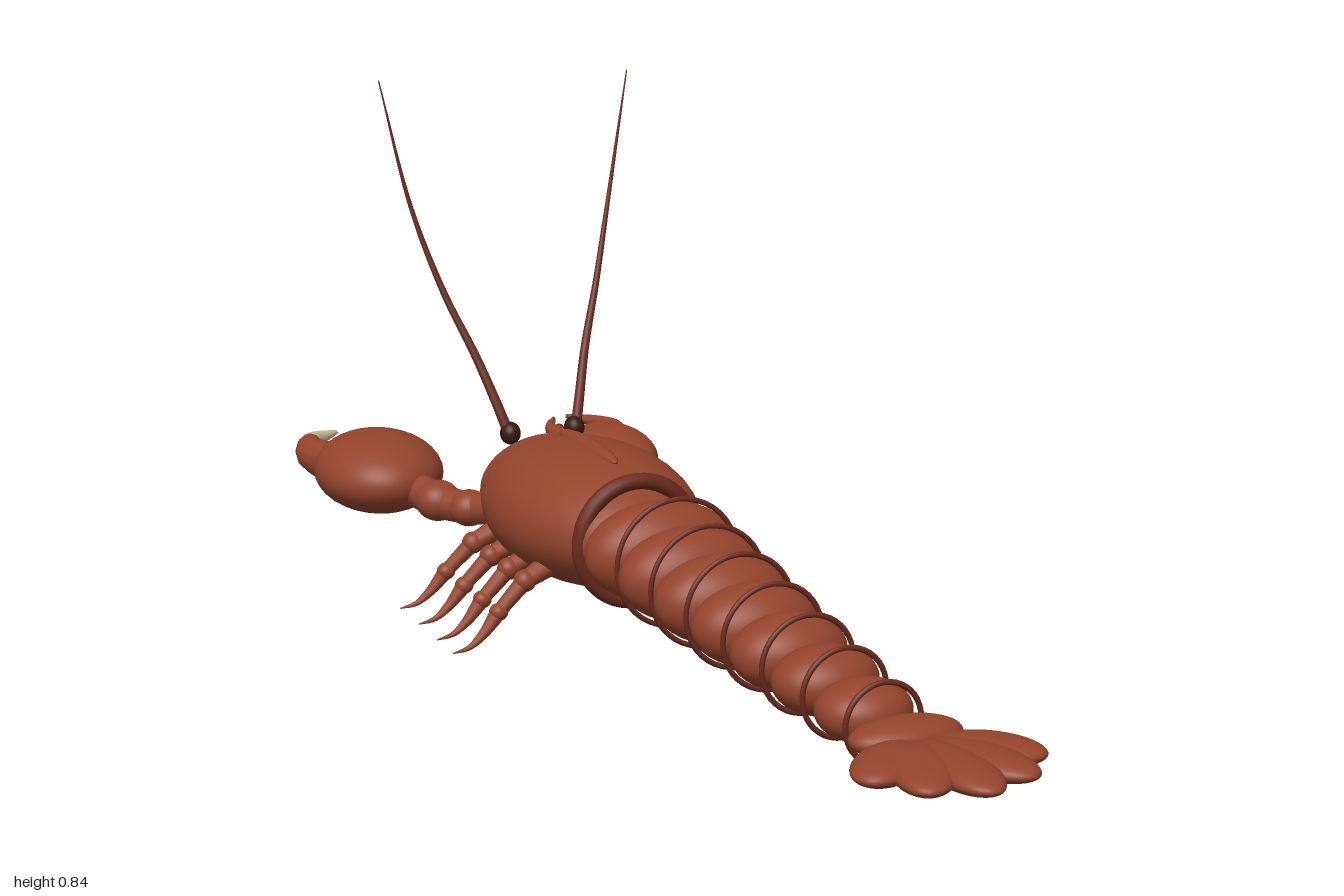
import * as THREE from 'three';

const CX = 0.0225; // body axis

export function createModel() {
  const model = new THREE.Group();
  model.name = 'lobster';
  const mat = (name, color) => Object.assign(new THREE.MeshStandardMaterial({ color }), { name });
  const shell = mat('shell red', 0x94442c);
  const dark = mat('dark shell', 0x6a2a1e);
  const eyeMat = mat('eye brown', 0x3a1812);
  const cream = mat('claw tip cream', 0xcbb896);
  const V = (x, y, z) => new THREE.Vector3(x, y, z);
  const lerp = THREE.MathUtils.lerp;

  function add(name, geo, material, parent = model) {
    const mesh = new THREE.Mesh(geo, material);
    mesh.name = name;
    parent.add(mesh);
    return mesh;
  }

  function ellipsoid(name, [x, y, z], [rx, ry, rz], material = shell, yaw = 0, parent = model) {
    const geo = new THREE.SphereGeometry(1, 36, 24);
    geo.rotateX(Math.PI / 2).scale(rx, ry, rz);
    const mesh = add(name, geo, material, parent);
    mesh.position.set(x, y, z);
    mesh.rotation.y = yaw;
    return mesh;
  }

  // Tube whose rings shrink from r0 to r1; an optional tip takes a second material
  function taper(name, points, r0, r1, material, parent = model, power = 1, tip = null, tipStart = 1) {
    const curve = new THREE.CatmullRomCurve3(points);
    const n = 30, sides = 12;
    const geo = new THREE.TubeGeometry(curve, n, 1, sides);
    const pos = geo.attributes.position, p = V(0, 0, 0);
    for (let i = 0; i <= n; i++) {
      const c = curve.getPointAt(i / n);
      const r = lerp(r0, r1, Math.pow(i / n, power));
      for (let j = 0; j <= sides; j++) {
        const k = i * (sides + 1) + j;
        p.fromBufferAttribute(pos, k).sub(c).multiplyScalar(r).add(c);
        pos.setXYZ(k, p.x, p.y, p.z);
      }
    }
    if (!tip) return add(name, geo, material, parent);
    const split = Math.round(n * tipStart) * sides * 6;
    geo.addGroup(0, split, 0);
    geo.addGroup(split, n * sides * 6 - split, 1);
    return add(name, geo, [material, tip], parent);
  }

  // Carapace, head, back ridge and collar
  ellipsoid('carapace', [CX, 0.18, -0.3], [0.16, 0.11, 0.26]);
  ellipsoid('head', [CX, 0.18, -0.435], [0.13, 0.092, 0.128]);
  ellipsoid('backRidge', [CX, 0.282, -0.305], [0.018, 0.014, 0.117]);
  const collar = add('collar', new THREE.TorusGeometry(0.095, 0.013, 12, 48), dark);
  collar.position.set(CX, 0.177, -0.105);

  // Abdomen segments, each followed by a thin ring
  for (let i = 0; i < 7; i++) {
    const t = i / 6;
    const y = lerp(0.185, 0.143, t);
    const z = lerp(-0.015, 0.65, t);
    ellipsoid('abdomenSegment', [CX, y, z], [lerp(0.121, 0.067, t), lerp(0.077, 0.042, t), lerp(0.071, 0.058, t)]);
    const ring = add('abdomenRing', new THREE.TorusGeometry(lerp(0.098, 0.055, t), 0.004, 8, 40), dark);
    ring.position.set(CX, lerp(0.183, 0.142, t), lerp(0.05, 0.705, t));
  }

  // Tail base and fan
  ellipsoid('tailBase', [CX, 0.145, 0.765], [0.08, 0.025, 0.042]);
  for (const [angle, reach, length] of [[0, 0.1, 0.097], [0.4, 0.095, 0.088], [0.85, 0.085, 0.075]]) {
    for (const s of angle ? [-1, 1] : [1]) {
      const a = s * angle;
      ellipsoid('tailLobe', [CX + Math.sin(a) * reach * 1.1, 0.146, 0.795 + Math.cos(a) * reach],
        [0.043, 0.019, length], shell, a);
    }
  }

  for (const s of [-1, 1]) {
    const at = (x, y, z) => V(CX + s * x, y, z);

    // Eyes and antennae
    ellipsoid('eye', at(0.057, 0.265, -0.508).toArray(), [0.017, 0.019, 0.019], eyeMat);
    taper('antenna', [at(0.06, 0.265, -0.508), at(0.073, 0.31, -0.525), at(0.098, 0.39, -0.56),
      at(0.136, 0.49, -0.603), at(0.177, 0.63, -0.645), at(0.221, 0.84, -0.669)], 0.009, 0.001, dark);

    // Walking legs
    [-0.432, -0.352, -0.274, -0.202].forEach((z, i) => {
      const leg = new THREE.Group();
      leg.name = 'walkingLeg';
      model.add(leg);
      const skew = [-0.022, -0.008, 0.004, 0.008][i];
      const hip = at(0.1, 0.13, z), knee = at(0.15, 0.105, z + skew * 0.3);
      const ankle = at(0.195, 0.06, z + skew * 0.6);
      taper('upperLeg', [hip, knee], 0.02, 0.014, shell, leg);
      taper('middleLeg', [knee, ankle], 0.014, 0.011, shell, leg);
      taper('lowerLeg', [ankle, at(0.222, 0.027, z + skew * 0.8), at(0.245, 0.009, z + skew * 0.9),
        at(0.272, 0.003, z + skew)], 0.013, 0.001, shell, leg);
      ellipsoid('kneeJoint', knee.toArray(), [0.018, 0.018, 0.018], shell, 0, leg);
      ellipsoid('ankleJoint', ankle.toArray(), [0.015, 0.014, 0.015], shell, 0, leg);
    });
  }

  // Claws: the right one is a heavy crusher with pale tips, the left one slender
  const claws = [
    {
      name: 'rightClaw', palm: [-0.2, 0.172, -0.71], size: [0.108, 0.068, 0.142], yaw: -0.08,
      arm: [[-0.075, 0.16, -0.43], [-0.115, 0.15, -0.49], [-0.15, 0.153, -0.545], [-0.175, 0.165, -0.61]],
      outer: [[-0.255, 0.17, -0.79], [-0.27, 0.172, -0.87], [-0.245, 0.175, -0.945], [-0.19, 0.176, -0.99]],
      inner: [[-0.155, 0.17, -0.79], [-0.13, 0.172, -0.87], [-0.135, 0.174, -0.93], [-0.16, 0.175, -0.973]],
      radius: 0.035, joint: 0.038, tip: cream,
      teeth: [[-0.235, -0.85], [-0.225, -0.89], [-0.153, -0.845], [-0.15, -0.885]],
    },
    {
      name: 'leftClaw', palm: [0.224, 0.168, -0.69], size: [0.068, 0.048, 0.118], yaw: 0.05,
      arm: [[0.095, 0.16, -0.43], [0.127, 0.15, -0.49], [0.154, 0.152, -0.54], [0.195, 0.162, -0.61]],
      outer: [[0.262, 0.168, -0.755], [0.289, 0.17, -0.845], [0.28, 0.17, -0.91], [0.246, 0.171, -0.965]],
      inner: [[0.203, 0.168, -0.755], [0.179, 0.17, -0.84], [0.189, 0.17, -0.9], [0.216, 0.171, -0.955]],
      radius: 0.023, joint: 0.034, tip: null,
      teeth: [[0.268, -0.865], [0.197, -0.878]],
    },
  ];
  for (const c of claws) {
    const claw = new THREE.Group();
    claw.name = c.name;
    model.add(claw);
    const path = list => list.map(p => V(...p));
    taper('arm', path(c.arm), 0.026, 0.03, shell, claw);
    ellipsoid('elbow', c.arm[1], [c.joint * 0.9, c.joint * 0.8, c.joint * 0.9], shell, 0, claw);
    ellipsoid('wrist', c.arm[2], [c.joint, c.joint * 0.9, c.joint], shell, 0, claw);
    ellipsoid('palm', c.palm, c.size, shell, c.yaw, claw);
    taper('outerFinger', path(c.outer), c.radius, 0.004, shell, claw, 1.5, c.tip, 0.58);
    taper('innerFinger', path(c.inner), c.radius * 0.8, 0.004, shell, claw, 1.5, c.tip, 0.6);
    for (const [x, z] of c.teeth) ellipsoid('tooth', [x, 0.171, z], [0.009, 0.009, 0.009], dark, 0, claw);
  }

  return model;
}
